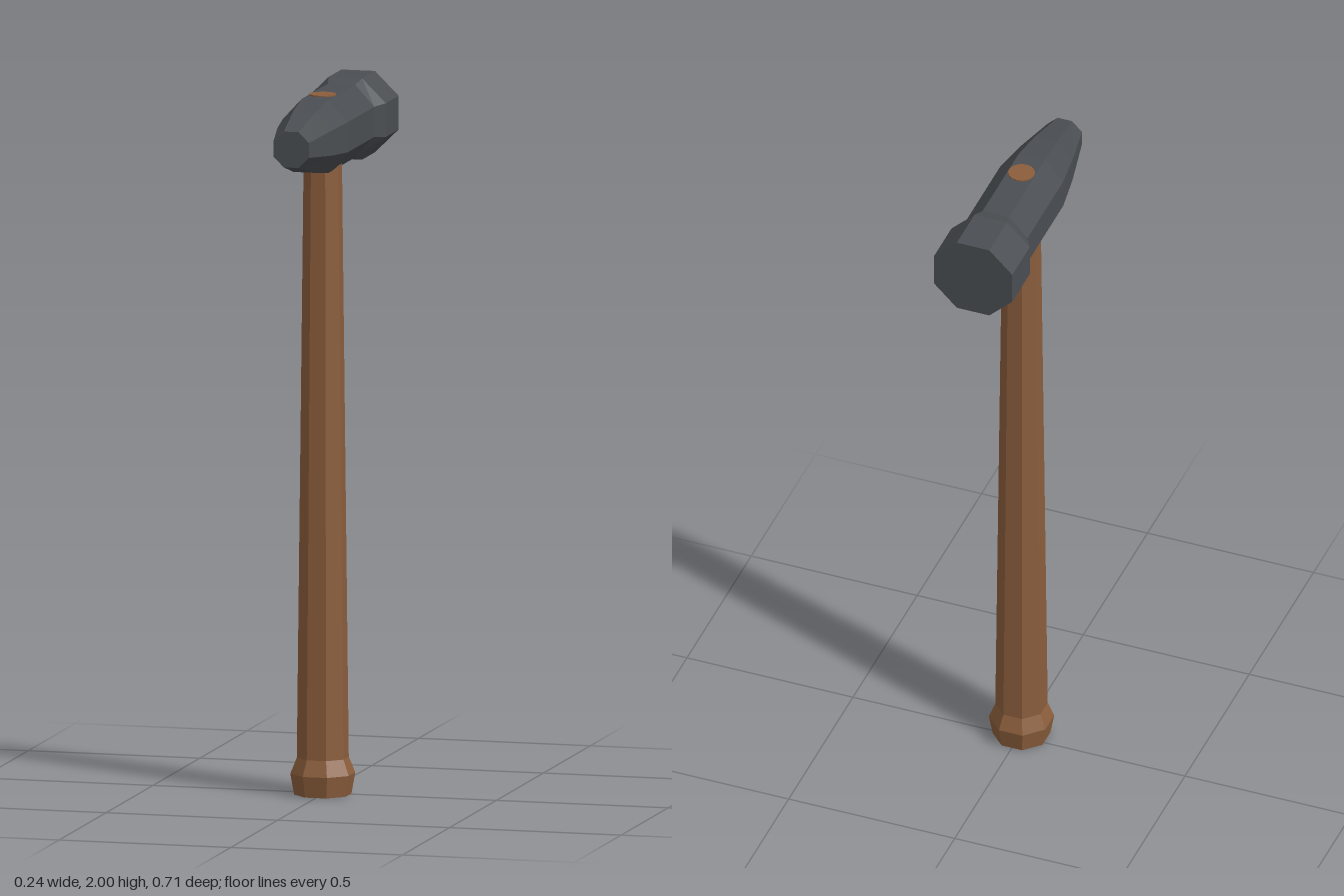
import * as THREE from 'three';

const SIDES = 8;

// Eight-sided turned solid about y; profile rows are [half width across flats, height]
function octagonal(profile) {
  const k = 1 / Math.cos(Math.PI / SIDES);
  const points = profile.map(([a, y]) => new THREE.Vector2(a * k, y));
  return new THREE.LatheGeometry(points, SIDES, Math.PI / SIDES);
}

export function createModel() {
  const wood = new THREE.MeshStandardMaterial({ color: 0x8b5e3c, flatShading: true });
  wood.name = 'wood';
  const steel = new THREE.MeshStandardMaterial({ color: 0x4a4e52, flatShading: true });
  steel.name = 'dark steel';

  const group = new THREE.Group();
  group.name = 'hammer';
  const add = (name, geometry, material, x, y, z) => {
    const mesh = new THREE.Mesh(geometry, material);
    mesh.name = name;
    mesh.position.set(x, y, z);
    group.add(mesh);
  };

  // Tapered handle with a flared butt, running up into the head
  add('handle', octagonal([
    [0, 0], [0.075, 0], [0.085, 0.06], [0.068, 0.105], [0.05, 1.82], [0.037, 1.9], [0, 1.9],
  ]), wood, 0, 0, 0.02);

  // Handle end showing through the top of the head
  add('handleEnd', new THREE.CylinderGeometry(0.038, 0.038, 0.006, 16), wood, 0, 1.989, 0.02);

  // Head along z: striking face at the back, tapered peen at the front
  const head = octagonal([
    [0, -0.357], [0.118, -0.357], [0.118, -0.22], [0.095, -0.18],
    [0.095, 0.1], [0.08, 0.21], [0.052, 0.357], [0, 0.357],
  ]);
  head.rotateX(Math.PI / 2);
  // The middle of the head is slightly taller than wide
  const p = head.attributes.position;
  for (let i = 0; i < p.count; i++) {
    const z = p.getZ(i);
    p.setY(i, p.getY(i) * (z > -0.2 && z < 0.3 ? 1.09 : 0.98));
  }
  head.computeVertexNormals();
  add('head', head, steel, 0, 1.885, 0);

  return group;
}
